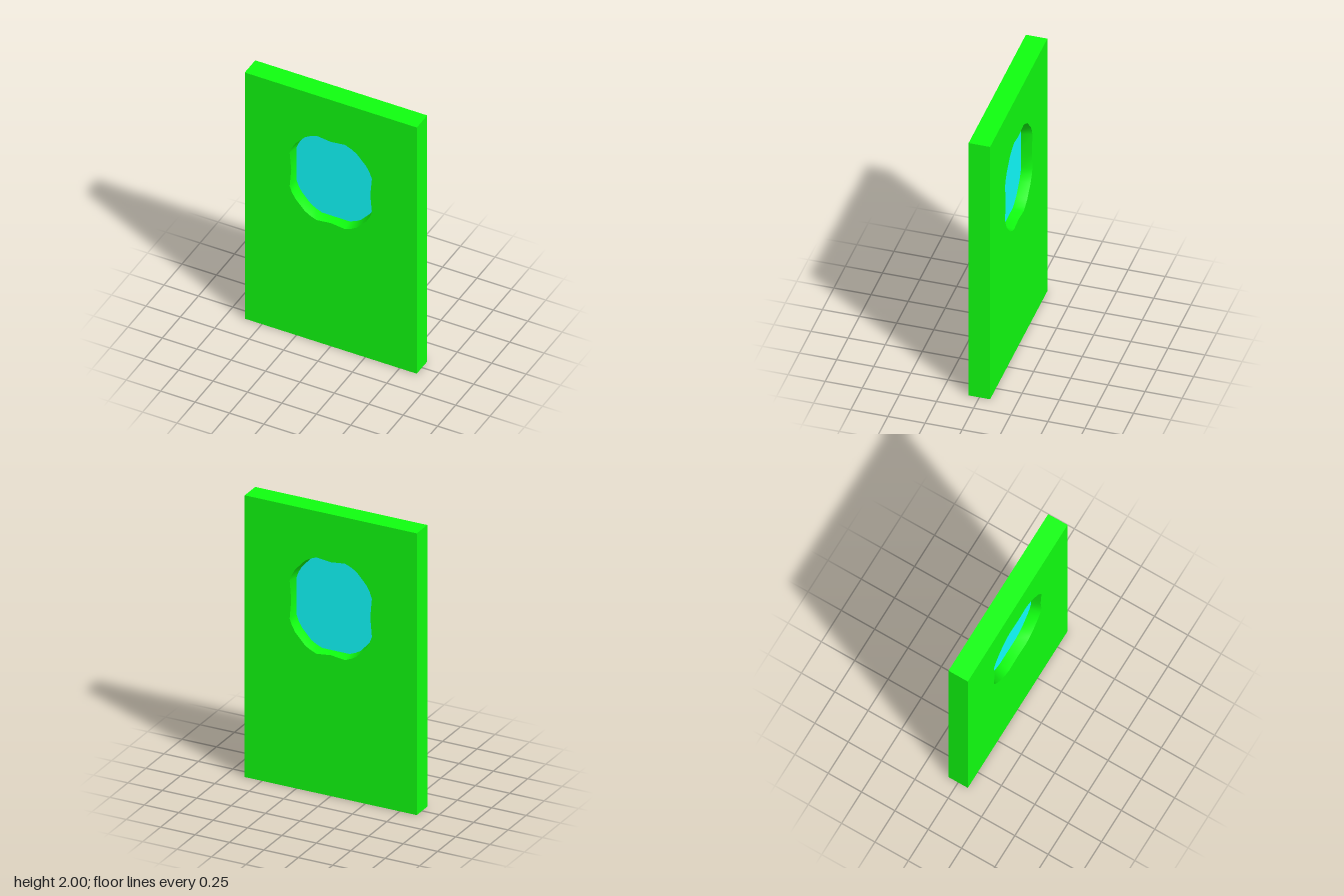
import * as THREE from 'three';
import { toCreasedNormals } from 'three/addons/utils/BufferGeometryUtils.js';

const WIDTH = 1.25, HEIGHT = 2, DEPTH = 0.145, WINDOW_Y = 1.33;

// One quarter of the window outline, from top centre to the side
const QUARTER = [[0, 0.33], [0.1, 0.33], [0.145, 0.311], [0.18, 0.29], [0.248, 0.215], [0.272, 0.172], [0.287, 0.13], [0.287, 0]];

// Mirrors the quarter into a closed loop; flare widens the rounded corners only
function windowLoop(flare) {
  const q = QUARTER.map(([x, y]) => {
    const k = x === 0 || y === 0 ? 1 : 1 + flare / Math.hypot(x, y);
    return [x * k, y * k];
  });
  const back = q.slice(1, -1).reverse();
  return [
    ...q,
    ...back.map(([x, y]) => [x, -y]),
    ...q.slice().map(([x, y]) => [-x, -y]),
    ...back.map(([x, y]) => [-x, y]),
  ].map(([x, y]) => new THREE.Vector2(x, y + WINDOW_Y));
}

export function createModel() {
  const model = new THREE.Group();
  const rim = windowLoop(0.013);
  const inner = windowLoop(0);

  // Door slab with the window opening cut through
  const w = WIDTH / 2;
  const outline = new THREE.Shape([
    new THREE.Vector2(-w, 0), new THREE.Vector2(w, 0),
    new THREE.Vector2(w, HEIGHT), new THREE.Vector2(-w, HEIGHT),
  ]);
  outline.holes.push(new THREE.Path(rim));
  const slab = new THREE.ExtrudeGeometry(outline, { depth: DEPTH, steps: 2, bevelEnabled: false });
  slab.translate(0, 0, -DEPTH / 2);

  // Draw the middle of the opening in to meet the pane
  const pos = slab.attributes.position;
  for (let i = 0; i < pos.count; i++) {
    if (Math.abs(pos.getZ(i)) > 0.001) continue;
    const j = rim.findIndex((p) => Math.hypot(p.x - pos.getX(i), p.y - pos.getY(i)) < 1e-4);
    if (j >= 0) pos.setXY(i, inner[j].x, inner[j].y);
  }
  const door = new THREE.Mesh(toCreasedNormals(slab, 0.7), new THREE.MeshStandardMaterial({ color: 0x10ff10 }));
  door.name = 'doorSlab';
  model.add(door);

  // Window pane in the middle of the thickness
  const pane = new THREE.Mesh(
    new THREE.ShapeGeometry(new THREE.Shape(inner)),
    new THREE.MeshStandardMaterial({ color: 0x10ffff, side: THREE.DoubleSide }),
  );
  pane.name = 'windowPane';
  model.add(pane);

  return model;
}
